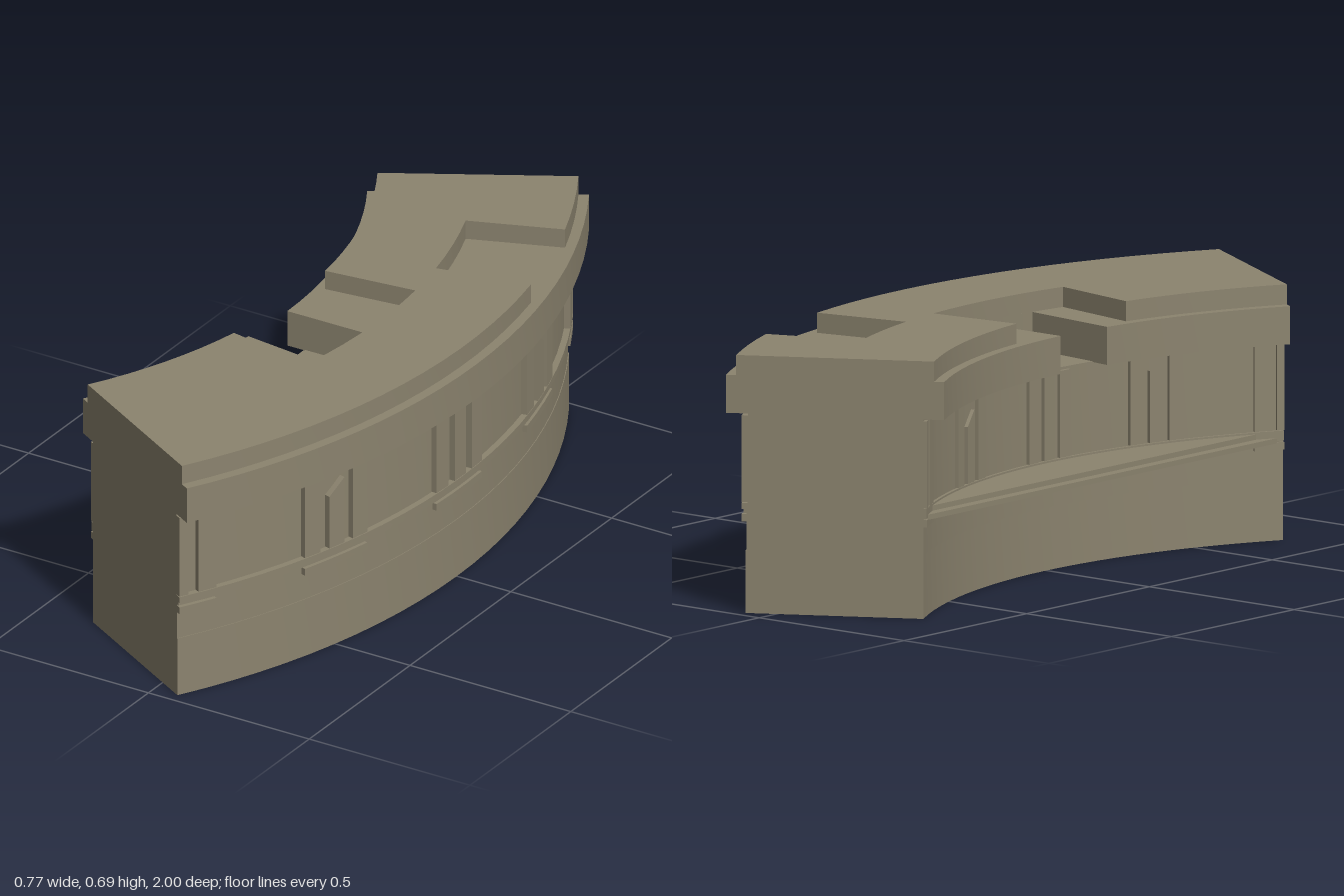
import * as THREE from 'three';
import { toCreasedNormals } from 'three/addons/utils/BufferGeometryUtils.js';

const CX = -1.61;                 // centre of the arc on the x axis
const STEP = 2.5;                 // degrees per facet
const rad = THREE.MathUtils.degToRad;

const stone = new THREE.MeshStandardMaterial({ color: 0x8c846f });
stone.name = 'stone';

// Plan point at radius r and angle a (degrees, towards +z)
const polar = (r, a) => new THREE.Vector2(CX + r * Math.cos(rad(a)), -r * Math.sin(rad(a)));

function arc(r, a0, a1) {
  const n = Math.max(1, Math.ceil(Math.abs(a1 - a0) / STEP - 1e-6));
  return Array.from({ length: n + 1 }, (_, i) => polar(r, a0 + (a1 - a0) * i / n));
}

// Extrude a plan outline from y0 to y1
function slab(points, y0, y1) {
  const clean = points.filter((p, i) => i === 0 || p.distanceTo(points[i - 1]) > 1e-5);
  const geo = new THREE.ExtrudeGeometry(new THREE.Shape(clean), { depth: y1 - y0, bevelEnabled: false });
  geo.rotateX(-Math.PI / 2);
  geo.translate(0, y0, 0);
  return geo;
}

// Plan outline from consecutive spans [startAngle, endAngle, innerRadius, outerRadius]
function outline(spans) {
  const outer = spans.flatMap(([a, b, , ro]) => arc(ro, a, b));
  const inner = [...spans].reverse().flatMap(([a, b, ri]) => arc(ri, b, a));
  return [...outer, ...inner];
}

const ring = (spans, y0, y1) => slab(outline(spans), y0, y1);

export function createModel() {
  const group = new THREE.Group();
  group.name = 'curvedWallSection';

  const add = (name, geo, parent = group) => {
    const mesh = new THREE.Mesh(toCreasedNormals(geo, rad(20)), stone);
    mesh.name = name;
    parent.add(mesh);
    return mesh;
  };

  // Wall body
  add('wallBase', ring([[-30, 30, 1.466, 1.942]], 0, 0.168));
  add('wallMiddle', ring([[-30, 30, 1.466, 1.94]], 0.168, 0.28));
  add('wallUpper', ring([[-30, 30, 1.466, 1.936]], 0.28, 0.537));

  // String course on the outer and inner faces
  add('outerLowerBand', ring([[-30, 30, 1.93, 1.947]], 0.268, 0.278));
  add('outerUpperBand', ring([[-30, 30, 1.93, 1.953]], 0.278, 0.295));
  add('innerBand', ring([[-30, 30, 1.458, 1.47]], 0.268, 0.295));

  // Ledge filling the hollow side between the chord and the arc
  const ledge = (x, y0, y1) => {
    const a = THREE.MathUtils.radToDeg(Math.acos((x - CX) / 1.468));
    return slab(arc(1.468, -a, a), y0, y1);
  };
  add('innerLedgeLower', ledge(-0.338, 0.262, 0.276));
  add('innerLedgeUpper', ledge(-0.31, 0.276, 0.29));

  // Pilaster groups on both faces, at five bays
  const sides = { outer: [1.93, 1.953], inner: [1.456, 1.47] };
  for (const [side, [ri, ro]] of Object.entries(sides)) {
    for (const bay of [-30, -15, 0, 15, 30]) {
      const g = new THREE.Group();
      g.name = `${side}PilasterGroup`;
      group.add(g);
      // clip to the wall ends
      const piece = (name, a, b, y0, y1, r0 = ri, r1 = ro) => {
        const lo = Math.max(-30, bay + a), hi = Math.min(30, bay + b);
        return hi - lo > 0.05 ? add(name, ring([[lo, hi, r0, r1]], y0, y1), g) : null;
      };
      piece('corbel', -3.3, 3.3, 0.245, 0.265);
      piece('pilaster', -3.3, -1.7, 0.297, 0.53);
      piece('pilaster', 1.7, 3.3, 0.297, 0.53);
      if (Math.abs(bay) === 15) {
        // middle strip with a sloping head, higher towards the wall centre
        const strip = ring([[bay - 0.8, bay + 0.8, ri, ro]], 0.297, 0.49);
        const pos = strip.attributes.position;
        for (let i = 0; i < pos.count; i++) {
          if (pos.getY(i) < 0.4) continue;
          const a = THREE.MathUtils.radToDeg(Math.atan2(pos.getZ(i), pos.getX(i) - CX));
          if (Math.abs(a) > 15) pos.setY(i, 0.45);
        }
        add('slopedStrip', strip, g);
      } else {
        piece('middleStrip', -0.8, 0.8, 0.297, 0.53);
      }
    }
  }

  // Cornice, cut through on the hollow side
  add('cornice', ring([
    [-30, -0.3, 1.41, 1.995], [-0.3, 6.9, 1.70, 1.995], [6.9, 30, 1.41, 1.995],
  ], 0.535, 0.637));

  // Parapet with one notch in each face
  add('parapet', ring([
    [-30, -21, 1.437, 1.967], [-21, -11.4, 1.437, 1.70], [-11.4, -6.7, 1.437, 1.967],
    [-6.7, 10.5, 1.70, 1.967], [10.5, 30, 1.437, 1.967],
  ], 0.637, 0.691));

  return group;
}
